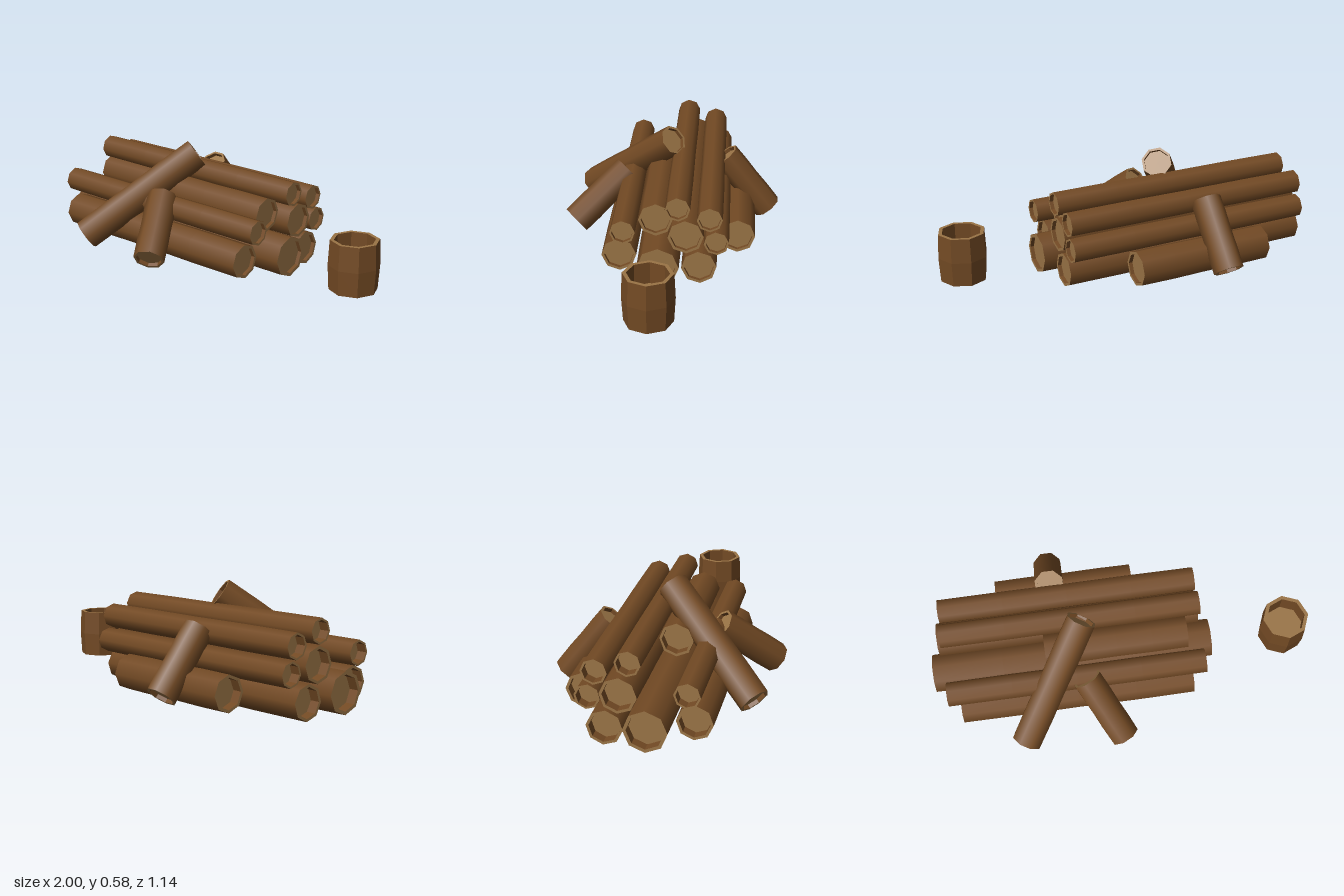
import * as THREE from 'three';

const bark = new THREE.MeshStandardMaterial({ color: 0x734a24 });
bark.name = 'bark';
const wood = new THREE.MeshStandardMaterial({ color: 0x9a7446 });
wood.name = 'cut wood';

const SIDES = 8;

// Revolve a profile of [radius, height] pairs into an eight-sided surface.
function revolve(profile, roll, flat) {
  const pts = profile.map(([r, y]) => new THREE.Vector2(r, y));
  const g = new THREE.LatheGeometry(pts, SIDES, roll);
  if (!flat) return g;
  const f = g.toNonIndexed();
  f.computeVertexNormals();
  return f;
}

// One log between two points: bark shell, pale rims and recessed end faces.
function makeLog(name, from, to, r, { roll = 0, d0 = 0.02, d1 = 0.02, rings = [0.98, 1, 0.975, 1, 0.98], flat = false } = {}) {
  const a = new THREE.Vector3(...from), b = new THREE.Vector3(...to);
  const len = a.distanceTo(b), h = len / 2;
  const group = new THREE.Group();
  group.name = name;
  const add = (part, profile, mat, isFlat = true) => {
    const m = new THREE.Mesh(revolve(profile, roll, isFlat), mat);
    m.name = part;
    group.add(m);
  };
  const n = rings.length - 1;
  add('barkShell', rings.map((k, i) => [r * k, -h + (len * i) / n]), bark, flat);
  const r0 = r * rings[0], r1 = r * rings[n], i0 = r0 * 0.84, i1 = r1 * 0.84;
  // start end
  add('startRim', [[i0, -h], [r0, -h]], wood);
  if (d0 > 0) add('startHollow', [[i0, -h + d0], [i0, -h]], bark);
  add('startFace', [[0, -h + d0], [i0, -h + d0]], wood);
  // finish end
  add('endRim', [[r1, h], [i1, h]], wood);
  if (d1 > 0) add('endHollow', [[i1, h], [i1, h - d1]], bark);
  add('endFace', [[i1, h - d1], [0, h - d1]], wood);

  group.position.copy(a).add(b).multiplyScalar(0.5);
  group.quaternion.setFromUnitVectors(new THREE.Vector3(0, 1, 0), b.clone().sub(a).normalize());
  return group;
}

export function createModel() {
  const model = new THREE.Group();
  model.name = 'logPile';

  // Stacked logs: x start, x end, y, z, radius, roll
  const stack = [
    [-0.87, 0.355, 0.115, 0.245, 0.09, 0.05],
    [-1.0, 0.48, 0.115, 0.042, 0.107, 0.0],
    [-0.95, 0.42, 0.09, -0.16, 0.09, 0.08],
    [-0.63, 0.11, 0.108, -0.35, 0.094, 0.0],
    [-0.925, 0.42, 0.273, 0.22, 0.065, 0.06],
    [-0.4, 0.342, 0.308, 0.06, 0.089, 0.0],
    [-0.95, 0.42, 0.257, -0.093, 0.091, 0.05],
    [-0.925, 0.42, 0.226, -0.245, 0.064, 0.1],
    [-0.925, 0.42, 0.406, -0.053, 0.064, 0.08],
    [-0.925, 0.42, 0.353, -0.211, 0.065, 0.04],
  ];
  stack.forEach(([x0, x1, y, z, r, roll], i) => {
    model.add(makeLog('stackedLog' + (i + 1), [x0, y, z], [x1, y, z], r, { roll, d0: 0.05 }));
  });

  // Logs leaning on the pile
  model.add(makeLog('longLeaningLog', [-0.557, 0.095, 0.475], [-0.195, 0.515, 0.0], 0.082));
  model.add(makeLog('shortLeaningLog', [-0.045, 0.1, 0.515], [-0.205, 0.33, 0.25], 0.08));
  model.add(makeLog('backLeaningLog', [-0.335, 0.07, -0.513], [-0.335, 0.375, -0.273], 0.08, { roll: Math.PI / 8 }));

  // Faceted hollow stump standing apart
  model.add(makeLog('stump', [0.873, 0.06, 0.055], [0.873, 0.31, 0.055], 0.126,
    { d0: 0, d1: 0.11, rings: [0.94, 1, 0.95], flat: true }));

  return model;
}
